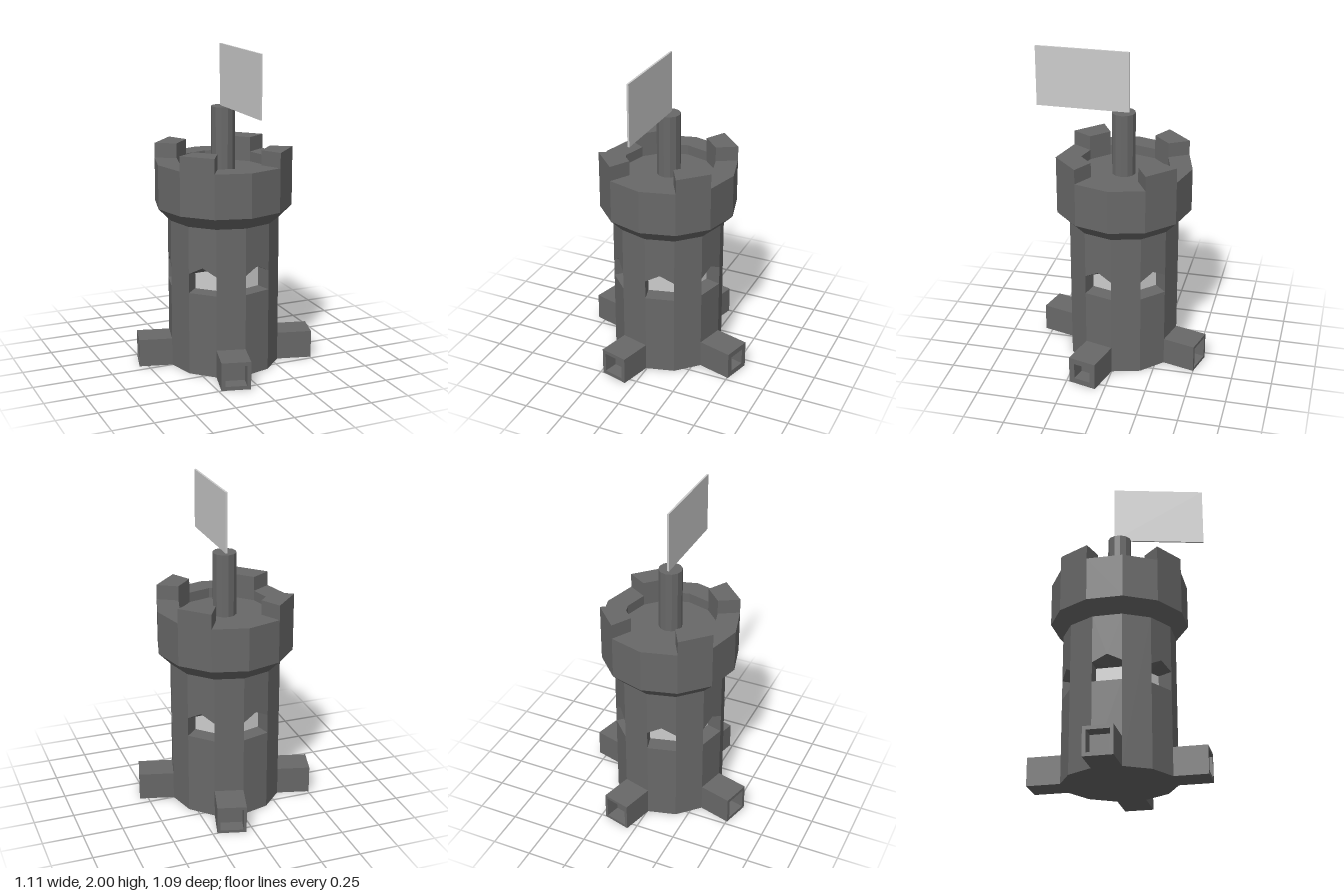
import * as THREE from 'three';

const stone = new THREE.MeshStandardMaterial({ color: 0x686868, flatShading: true });
const pale = new THREE.MeshStandardMaterial({ color: 0xcccccc, flatShading: true });
const SIDES = 12, R = 0.347, STEP = Math.PI / 6;
const H = R * Math.sin(STEP / 2);    // half width of one wall facet
const AP = R * Math.cos(STEP / 2);   // distance from axis to a facet
const deg = THREE.MathUtils.degToRad;

// Window opening: sill, eaves and gable peak heights, and depth of the pane
const SILL = 0.523, EAVES = 0.644, PEAK = 0.69, PANE = AP - 0.1;

// Flat faces from convex polygons, corners counter-clockwise
function faces(polys) {
  const pos = [];
  for (const p of polys)
    for (let i = 1; i < p.length - 1; i++) pos.push(...p[0], ...p[i], ...p[i + 1]);
  const g = new THREE.BufferGeometry();
  g.setAttribute('position', new THREE.Float32BufferAttribute(pos, 3));
  g.computeVertexNormals();
  return g;
}

// Mirror polygons across x = 0, keeping them facing outward
const mirrored = (polys) => polys.concat(
  polys.map((p) => p.map(([x, y, z]) => [-x, y, z]).reverse()));

// Upright rectangle facing +z
const panel = (w, y0, y1, z) => [[-w, y0, z], [w, y0, z], [w, y1, z], [-w, y1, z]];

// Horizontal rectangle facing up, between two depths
const ledge = (w, y, z0, z1) => [[-w, y, z0], [w, y, z0], [w, y, z1], [-w, y, z1]];

// Left side of a recess, facing +x
const jamb = (w, y0, y1, z0, z1) => [[-w, y0, z0], [-w, y0, z1], [-w, y1, z1], [-w, y1, z0]];

// Wall facet with a full-width gabled window niche, open at the back
function windowFacet(top) {
  return faces([
    panel(H, 0, SILL, AP),
    [[0, PEAK, AP], [H, EAVES, AP], [H, top, AP], [-H, top, AP], [-H, EAVES, AP]],
    ledge(H, SILL, AP, PANE),
    ...mirrored([
      jamb(H, SILL, EAVES, AP, PANE),
      [[-H, EAVES, AP], [-H, EAVES, PANE], [0, EAVES, PANE], [0, PEAK, AP]],
    ]),
  ]);
}

// Block projecting from a facet, with a square recess in its end
function footBlock(end, margin) {
  const h = 0.175, m = margin, w = H - m, back = end - 0.09, start = AP - 0.02;
  return faces([
    ledge(H, h, end, start),
    ledge(H, 0, end, start).reverse(),
    panel(H, 0, m, end),
    panel(H, h - m, h, end),
    ledge(w, m, end, back),
    ledge(w, h - m, end, back).reverse(),
    panel(w, m, h - m, back),
    ...mirrored([
      [[-H, m, end], [-w, m, end], [-w, h - m, end], [-H, h - m, end]],
      jamb(w, m, h - m, end, back),
      jamb(H, 0, h, end, start).reverse(),
    ]),
  ]);
}

function lathe(points) {
  return new THREE.LatheGeometry(points.map(([r, y]) => new THREE.Vector2(r, y)), SIDES);
}

export function createModel() {
  const model = new THREE.Group();
  const tower = new THREE.Group();
  tower.name = 'tower';
  tower.position.x = -0.006;
  model.add(tower);
  const add = (name, geometry, angle = 0, material = stone) => {
    const mesh = new THREE.Mesh(geometry, material);
    mesh.name = name;
    mesh.rotation.y = angle;
    tower.add(mesh);
    return mesh;
  };

  // Wall: window facets with pale panes alternate with plain ones
  const wallTop = 0.94;
  const windowed = windowFacet(wallTop);
  const pane = faces([panel(H, SILL, EAVES, PANE)]);
  const plain = faces([panel(H, 0, wallTop, AP)]);
  for (let i = 0; i < SIDES; i += 2) {
    const angle = STEP * (i + 0.5);
    add('windowWall', windowed, angle);
    add('windowPane', pane, angle, pale);
    add('plainWall', plain, angle + STEP);
  }

  add('base', lathe([[0, 0], [R, 0]]));

  // Flared crown with sunken roof
  const outer = 0.425, inner = 0.287, rim = 1.293, roof = 1.23;
  add('crown', lathe([
    [R, wallTop], [outer, 1.02], [outer, rim], [inner, rim], [inner, roof], [0, roof],
  ]));

  // Four merlons, each one facet wide
  const corner = (r, a) => new THREE.Vector2(r * Math.cos(a), r * Math.sin(a));
  const merlon = new THREE.ExtrudeGeometry(new THREE.Shape([
    corner(inner, STEP), corner(outer, STEP), corner(outer, 2 * STEP), corner(inner, 2 * STEP),
  ]), { depth: 0.092, bevelEnabled: false });
  merlon.rotateX(-Math.PI / 2).translate(0, rim, 0);
  for (let i = 0; i < 4; i++) add('merlon', merlon, i * Math.PI / 2);

  // Four feet: direction, outer end, recess margin
  for (const [angle, end, margin] of [
    [75, 0.554, 0.036], [-15, 0.541, 0.024], [-105, 0.542, 0.022], [165, 0.542, 0.018],
  ]) add('foot', footBlock(end, margin), deg(angle));

  // Pole and pale flag
  const poleTop = 1.625;
  add('pole', new THREE.CylinderGeometry(0.073, 0.073, poleTop - roof, SIDES))
    .position.y = (poleTop + roof) / 2;
  add('flag', new THREE.BoxGeometry(0.012, 2 - poleTop, 0.575), 0, pale)
    .position.set(0, (2 + poleTop) / 2, 0.253);

  return model;
}
